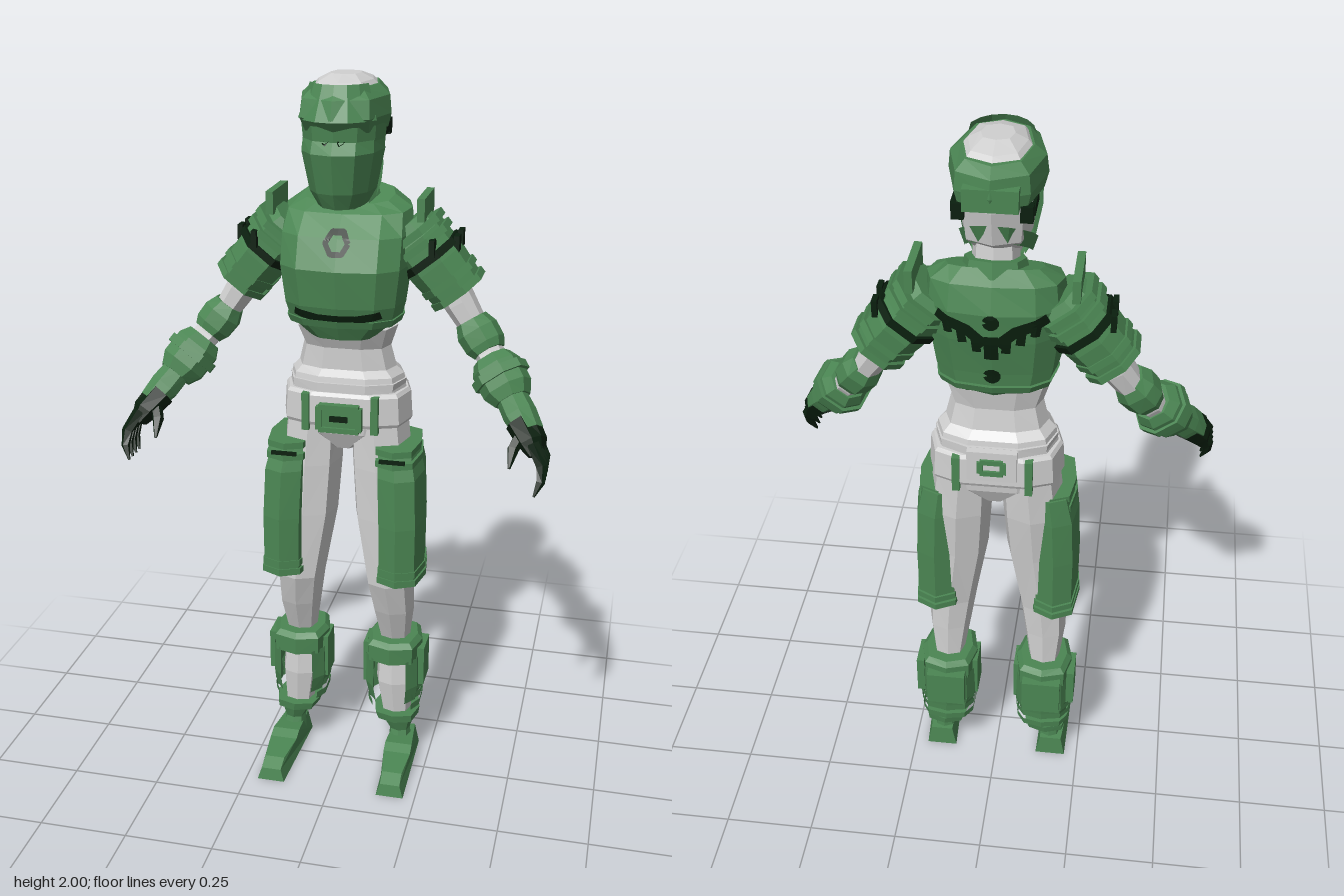
import * as THREE from 'three';

const mat = (name, color) => {
  const m = new THREE.MeshStandardMaterial({ color, flatShading: true, side: THREE.DoubleSide });
  m.name = name;
  return m;
};
const V = (x, y, z) => new THREE.Vector3(x, y, z);

export function createModel() {
  const green = mat('armourGreen', 0x4b8653), grey = mat('clothGrey', 0xd0d0d0), dark = mat('trimDark', 0x0a1f0e);
  const root = new THREE.Group();
  root.name = 'armouredFigure';

  const add = (parent, name, geo, material) => {
    const g = geo.index ? geo.toNonIndexed() : geo;
    g.computeVertexNormals();
    const mesh = new THREE.Mesh(g, material);
    mesh.name = name;
    parent.add(mesh);
    return mesh;
  };

  // Skins a list of rings; an open arc leaves out the caps
  const skin = (rings, closed) => {
    const n = rings[0].length, pos = [], idx = [], m = closed ? n : n - 1;
    rings.forEach(r => r.forEach(p => pos.push(p.x, p.y, p.z)));
    for (let i = 0; i < rings.length - 1; i++)
      for (let j = 0; j < m; j++) {
        const k = (j + 1) % n, a = i * n + j, b = i * n + k;
        idx.push(a, a + n, b + n, a, b + n, b);
      }
    if (closed) {
      const e = (rings.length - 1) * n;
      for (let j = 1; j < n - 1; j++) idx.push(0, j, j + 1, e, e + j + 1, e + j);
    }
    const g = new THREE.BufferGeometry();
    g.setAttribute('position', new THREE.Float32BufferAttribute(pos, 3));
    g.setIndex(idx);
    return g;
  };
  const pw = (v, p) => Math.sign(v) * Math.abs(v) ** p;

  // Upright loft, bottom to top: rows of [y, rx, rz, cx, cz, tilt]; angle 90 is the front
  const stack = (rows, n = 8, p = 0.8, a0 = 0, a1 = 360) => {
    const closed = a1 - a0 === 360;
    return skin(rows.map(([y, rx, rz, cx = 0, cz = 0, tilt = 0]) =>
      Array.from({ length: closed ? n : n + 1 }, (_, j) => {
        const a = THREE.MathUtils.degToRad(a0 + (a1 - a0) * j / n);
        const dz = pw(Math.sin(a), p) * rz;
        return V(cx + pw(Math.cos(a), p) * rx, y + tilt * dz, cz + dz);
      })), closed);
  };

  // Loft along a path: rows of [x, y, z, ra, rb]
  const limb = (rows, n = 8, p = 0.85) => {
    const c = rows.map(r => V(r[0], r[1], r[2]));
    return skin(rows.map((r, i) => {
      const t = c[Math.min(i + 1, c.length - 1)].clone().sub(c[Math.max(i - 1, 0)]).normalize();
      const u = t.clone().cross(V(0, 0, 1)).normalize(), v = u.clone().cross(t);
      return Array.from({ length: n }, (_, j) => {
        const a = 2 * Math.PI * (j + 0.5) / n;
        return c[i].clone().addScaledVector(u, pw(Math.cos(a), p) * r[3]).addScaledVector(v, pw(Math.sin(a), p) * r[4]);
      });
    }), true);
  };
  const box = (w, h, d, x, y, z) => new THREE.BoxGeometry(w, h, d).translate(x, y, z);

  // Thin painted strip laid on a surface from the front (side 1) or back (side -1)
  const ray = new THREE.Raycaster();
  const paint = (target, name, pts, width, side) => {
    const rings = [];
    for (let i = 0; i < pts.length - 1; i++) {
      const [ax, ay] = pts[i], [bx, by] = pts[i + 1], l = Math.hypot(bx - ax, by - ay);
      for (let s = 0; s <= 6; s++) {
        const x = ax + (bx - ax) * s / 6, y = ay + (by - ay) * s / 6;
        rings.push([-1, 0, 1].map(e => {
          const px = x - (by - ay) / l * e * width / 2, py = y + (bx - ax) / l * e * width / 2;
          ray.set(V(px, py, side), V(0, 0, -side));
          const hit = ray.intersectObject(target)[0];
          return V(px, py, (hit ? hit.point.z : side > 0 ? 0.04 : -0.17) + side * 0.007);
        }));
      }
    }
    add(root, name, skin(rings, false), dark);
  };
  const hexagon = (x, y, r) => Array.from({ length: 7 }, (_, i) =>
    [x + r * Math.cos(i * Math.PI / 3), y + r * Math.sin(i * Math.PI / 3)]);

  // Head, crown, wrap and mask
  add(root, 'neck', stack([[1.6, 0.065, 0.06, 0, -0.1], [1.76, 0.055, 0.055, 0, -0.085]]), grey);
  add(root, 'head', stack([[1.7, 0.055, 0.06, 0, -0.05, -0.5], [1.77, 0.085, 0.105, 0, -0.06],
    [1.86, 0.095, 0.125, 0, -0.06], [1.96, 0.095, 0.125, 0, -0.06], [1.985, 0.07, 0.1, 0, -0.05], [2, 0.04, 0.045, 0, -0.05]]), grey);
  add(root, 'headWrap', stack([[1.87, 0.108, 0.145, 0, -0.05], [1.905, 0.118, 0.166, 0, -0.04],
    [1.95, 0.113, 0.155, 0, -0.045], [1.975, 0.085, 0.13, 0, -0.05]], 8, 0.85), green);
  add(root, 'wrapPeak', stack([[1.9, 0.114, 0.155, 0, -0.028], [1.985, 0.085, 0.115, 0, -0.03]], 6, 0.95, 30, 150), green);
  add(root, 'wrapKnot', box(0.13, 0.055, 0.03, 0, 1.9, -0.188), green);
  add(root, 'browGuard', stack([[1.83, 0.103, 0.13, 0, -0.035], [1.885, 0.108, 0.135, 0, -0.035]], 6, 0.9, 0, 180), green);
  const mask = add(root, 'mask', stack([[1.68, 0.062, 0.11, 0, -0.03], [1.72, 0.085, 0.13, 0, -0.03],
    [1.82, 0.105, 0.152, 0, -0.03], [1.85, 0.103, 0.135, 0, -0.03]], 6, 0.9, 0, 180), green);
  add(root, 'maskChin', stack([[1.675, 0.055, 0.09, 0, -0.025], [1.7, 0.07, 0.105, 0, -0.03]], 8, 0.9), green);
  add(root, 'maskStrap', stack([[1.695, 0.082, 0.125, 0, -0.035, -0.65], [1.735, 0.095, 0.14, 0, -0.035, -0.65]], 8, 0.9, 180, 360), green);
  for (const s of [-1, 1]) {
    paint(mask, 'eyeSlot', [[s * 0.012, 1.85], [s * 0.04, 1.868], [s * 0.072, 1.862]], 0.02, 1);
    add(root, 'sideSlot', box(0.008, 0.026, 0.09, s * 0.094, 1.858, -0.105), dark);
    add(root, 'sideSlotEnd', box(0.03, 0.04, 0.03, s * 0.08, 1.855, -0.155), dark);
  }

  // Torso: vest, hem, collar and waist
  const vest = add(root, 'vest', stack([[1.325, 0.09, 0.085, 0, -0.05], [1.375, 0.15, 0.115, 0, -0.055],
    [1.42, 0.162, 0.125, 0, -0.05], [1.52, 0.175, 0.14, 0, -0.053], [1.6, 0.175, 0.128, 0, -0.072],
    [1.66, 0.168, 0.09, 0, -0.092, -0.1], [1.69, 0.12, 0.062, 0, -0.1, -0.3]], 12, 0.72), green);
  add(root, 'hem', stack([[1.365, 0.15, 0.118, 0, -0.055], [1.385, 0.158, 0.126, 0, -0.055]], 12, 0.72), green);
  add(root, 'collar', stack([[1.67, 0.085, 0.075, 0, -0.1, -0.2], [1.71, 0.075, 0.065, 0, -0.1, -0.25]]), green);
  add(root, 'waist', stack([[1.15, 0.165, 0.1, 0, -0.08], [1.21, 0.155, 0.09, 0, -0.08], [1.23, 0.135, 0.075, 0, -0.075],
    [1.29, 0.12, 0.07, 0, -0.07], [1.35, 0.14, 0.09, 0, -0.06]], 10, 0.75), grey);
  add(root, 'waistRim', stack([[1.165, 0.158, 0.1, 0, -0.08], [1.195, 0.162, 0.1, 0, -0.08]], 10, 0.75), grey);
  add(root, 'hips', stack([[1.0, 0.04, 0.07, 0, -0.08], [1.05, 0.15, 0.095, 0, -0.08], [1.1, 0.165, 0.1, 0, -0.08]], 10, 0.75), grey);
  add(root, 'belt', stack([[1.075, 0.174, 0.105, 0, -0.08], [1.085, 0.18, 0.11, 0, -0.08],
    [1.16, 0.175, 0.108, 0, -0.08], [1.17, 0.168, 0.102, 0, -0.08]], 10, 0.65), grey);

  // Belt fittings: frame buckle in front, plate and ring behind
  const frame = (name, w, h, y, z) => {
    for (const s of [-1, 1]) {
      add(root, name, box(w, 0.014, 0.02, 0, y + s * h / 2, z), green);
      add(root, name, box(0.016, h, 0.02, s * w / 2, y, z), green);
    }
  };
  add(root, 'bucklePlate', box(0.1, 0.06, 0.02, 0, 1.105, 0.03), green);
  frame('buckleFrame', 0.11, 0.065, 1.105, 0.038);
  add(root, 'buckleBar', box(0.05, 0.014, 0.01, 0, 1.105, 0.044), dark);
  add(root, 'backPlate', box(0.13, 0.09, 0.02, 0, 1.15, -0.187), grey);
  frame('backRing', 0.06, 0.035, 1.15, -0.194);
  for (const s of [-1, 1]) for (const z of [0.022, -0.182])
    add(root, 'beltLoop', box(0.02, 0.105, 0.022, s * 0.095, 1.115, z), green);

  // Painted chest ring, waist stripe and winged back badge
  paint(vest, 'chestRing', hexagon(0, 1.59, 0.03), 0.014, 1);
  paint(vest, 'hemStripe', [[-0.115, 1.405], [-0.05, 1.392], [0.05, 1.392], [0.115, 1.405]], 0.022, 1);
  paint(vest, 'badgeBody', [[0, 1.475], [0, 1.545]], 0.035, -1);
  paint(vest, 'badgeHead', hexagon(0, 1.585, 0.011), 0.022, -1);
  paint(vest, 'smallBadge', hexagon(0, 1.42, 0.011), 0.024, -1);
  for (const s of [-1, 1]) {
    paint(vest, 'badgeWing', [[s * 0.015, 1.52], [s * 0.06, 1.56], [s * 0.135, 1.59]], 0.03, -1);
    for (let i = 0; i < 3; i++)
      paint(vest, 'badgeFeather', [[s * (0.04 + i * 0.035), 1.55 + i * 0.012], [s * (0.035 + i * 0.035), 1.495 + i * 0.025]], 0.022, -1);
  }

  // Left arm: sleeve with trims, elbow guard, cuff and clawed hand
  const left = new THREE.Group();
  left.name = 'leftLimbs';
  const L = (name, geo, m) => add(left, name, geo, m);
  L('sleeve', limb([[0.15, 1.615, -0.095, 0.06, 0.07], [0.18, 1.58, -0.095, 0.08, 0.09],
    [0.235, 1.515, -0.095, 0.08, 0.094], [0.29, 1.45, -0.09, 0.072, 0.088]]), green);
  for (const [x, y, r] of [[0.168, 1.6, 0.09], [0.188, 1.575, 0.09], [0.262, 1.485, 0.082], [0.286, 1.455, 0.081]])
    L('sleeveTrim', limb([[x, y, -0.095, r, r + 0.012], [x + 0.012, y - 0.015, -0.095, r, r + 0.012]]), green);
  L('shoulderRidge', box(0.02, 0.06, 0.15, 0.2, 1.665, -0.1).translate(0, 0, 0), green);
  L('sleeveBand', limb([[0.212, 1.543, -0.095, 0.09, 0.098], [0.225, 1.527, -0.095, 0.09, 0.098]]), dark);
  for (const z of [0.003, -0.06, -0.13])
    L('sleeveBandKnot', box(0.014, 0.045, 0.035, z === 0.003 ? 0.235 : 0.29, 1.575, z - 0.01), dark);
  L('upperArm', limb([[0.26, 1.485, -0.09, 0.045, 0.055], [0.3, 1.415, -0.085, 0.042, 0.055], [0.34, 1.355, -0.075, 0.036, 0.045],
    [0.39, 1.29, -0.045, 0.038, 0.045], [0.43, 1.235, -0.005, 0.035, 0.04]]), grey);
  L('elbowGuard', limb([[0.332, 1.372, -0.075, 0.042, 0.048], [0.35, 1.345, -0.068, 0.056, 0.058],
    [0.375, 1.312, -0.055, 0.054, 0.056], [0.388, 1.295, -0.045, 0.042, 0.046]]), green);
  L('cuff', limb([[0.395, 1.282, -0.035, 0.05, 0.052], [0.41, 1.262, -0.022, 0.066, 0.066],
    [0.445, 1.215, 0.008, 0.066, 0.064], [0.462, 1.192, 0.026, 0.048, 0.05]]), green);
  L('cuffRidge', limb([[0.417, 1.252, -0.016, 0.076, 0.073], [0.43, 1.235, -0.005, 0.076, 0.073]]), green);
  L('handBack', limb([[0.45, 1.21, 0.015, 0.04, 0.042], [0.485, 1.165, 0.055, 0.043, 0.048], [0.515, 1.13, 0.085, 0.035, 0.046]]), green);
  L('palm', limb([[0.492, 1.15, 0.066, 0.042, 0.048], [0.525, 1.11, 0.1, 0.036, 0.05], [0.54, 1.08, 0.115, 0.02, 0.045]]), dark);
  for (let i = 0; i < 4; i++)
    L('finger', limb([[0.528, 1.12, 0.07 + i * 0.022, 0.017, 0.014], [0.556, 1.07, 0.09 + i * 0.024, 0.016, 0.013],
      [0.556, 1.035, 0.105 + i * 0.026, 0.012, 0.01], [0.542, 1.0, 0.12 + i * 0.026, 0.003, 0.003]], 5, 1), dark);
  L('thumb', limb([[0.5, 1.14, 0.09, 0.017, 0.018], [0.478, 1.1, 0.135, 0.016, 0.016], [0.474, 1.06, 0.17, 0.004, 0.004]], 5, 1), dark);

  // Left leg: trouser, thigh guard, shin guard, ankle and shoe
  L('trouserLeg', stack([[0.12, 0.04, 0.04, 0.15, -0.085], [0.25, 0.055, 0.055, 0.143, -0.085], [0.4, 0.045, 0.048, 0.14, -0.09],
    [0.5, 0.06, 0.068, 0.138, -0.07], [0.6, 0.068, 0.085, 0.13, -0.055], [0.8, 0.082, 0.092, 0.108, -0.065],
    [0.95, 0.085, 0.1, 0.1, -0.075], [1.08, 0.08, 0.098, 0.09, -0.08]]), grey);
  L('thighGuard', stack([[0.625, 0.062, 0.118, 0.165, -0.048], [0.8, 0.064, 0.12, 0.164, -0.05],
    [0.94, 0.064, 0.115, 0.158, -0.055], [1.02, 0.055, 0.098, 0.148, -0.066]], 8, 0.65), green);
  for (const [y, rx, rz, cx, tilt] of [[0.62, 0.068, 0.124, 0.165, 0.08], [0.645, 0.066, 0.123, 0.165, 0.08], [0.975, 0.064, 0.11, 0.152, 0], [1.008, 0.062, 0.107, 0.15, 0]])
    L('thighGuardTrim', stack([[y, rx, rz, cx, -0.05, tilt], [y + 0.018, rx, rz, cx, -0.05, tilt]], 8, 0.65), green);
  L('thighSlot', box(0.07, 0.01, 0.008, 0.15, 0.998, 0.056), dark);
  L('shinBand', stack([[0.335, 0.08, 0.092, 0.14, -0.09], [0.385, 0.082, 0.092, 0.14, -0.09], [0.4, 0.068, 0.08, 0.14, -0.09]], 8, 0.7), green);
  L('shinGuard', stack([[0.2, 0.072, 0.085, 0.142, -0.092], [0.25, 0.082, 0.092, 0.14, -0.092], [0.345, 0.08, 0.092, 0.14, -0.09]], 8, 0.7, 118, 422), green);
  L('shinPlate', box(0.022, 0.12, 0.09, 0.222, 0.31, -0.1), green);
  L('calfPlate', box(0.11, 0.11, 0.03, 0.14, 0.31, -0.181), green);
  L('shinPlate', box(0.018, 0.13, 0.08, 0.063, 0.31, -0.09), green);
  for (const y of [0.17, 0.205, 0.235])
    L('lowerWrap', stack([[y, 0.064 + y * 0.08, 0.08, 0.143, -0.1], [y + 0.022, 0.066 + y * 0.08, 0.082, 0.143, -0.1]], 8, 0.7, 130, 410), green);
  L('ankleBand', stack([[0.128, 0.062, 0.072, 0.153, -0.09], [0.152, 0.068, 0.076, 0.15, -0.09]], 8, 0.7), green);
  L('ankle', stack([[0.04, 0.034, 0.045, 0.163, -0.075], [0.085, 0.03, 0.035, 0.162, -0.08], [0.13, 0.05, 0.055, 0.155, -0.085]]), green);

  const side = new THREE.Shape([[-0.13, 0], [0.165, 0], [0.158, 0.035], [0.12, 0.052], [0.03, 0.06], [0, 0.072], [-0.125, 0.062]].map(p => new THREE.Vector2(...p)));
  const shoe = new THREE.ExtrudeGeometry(side, { depth: 0.11, bevelEnabled: false }).translate(0, 0, -0.055).rotateY(-Math.PI / 2);
  const sp = shoe.attributes.position;
  for (let i = 0; i < sp.count; i++) {
    const y = sp.getY(i), z = sp.getZ(i);
    const w = (z > 0.1 ? 0.72 : 1) * (y > 0.03 ? 0.72 : 1) * (z < -0.1 ? 0.8 : 1);
    sp.setX(i, sp.getX(i) * w + 0.172 + z * 0.03);
  }
  L('shoe', shoe, green);
  root.add(left);

  // Right limbs: mirrored geometry with corner order swapped
  const right = new THREE.Group();
  right.name = 'rightLimbs';
  for (const m of left.children) {
    const g = new THREE.BufferGeometry(), src = m.geometry.attributes.position, out = [];
    for (let i = 0; i < src.count; i += 3)
      for (const k of [i, i + 2, i + 1]) out.push(-src.getX(k), src.getY(k), src.getZ(k));
    g.setAttribute('position', new THREE.Float32BufferAttribute(out, 3));
    add(right, m.name, g, m.material);
  }
  root.add(right);
  return root;
}
